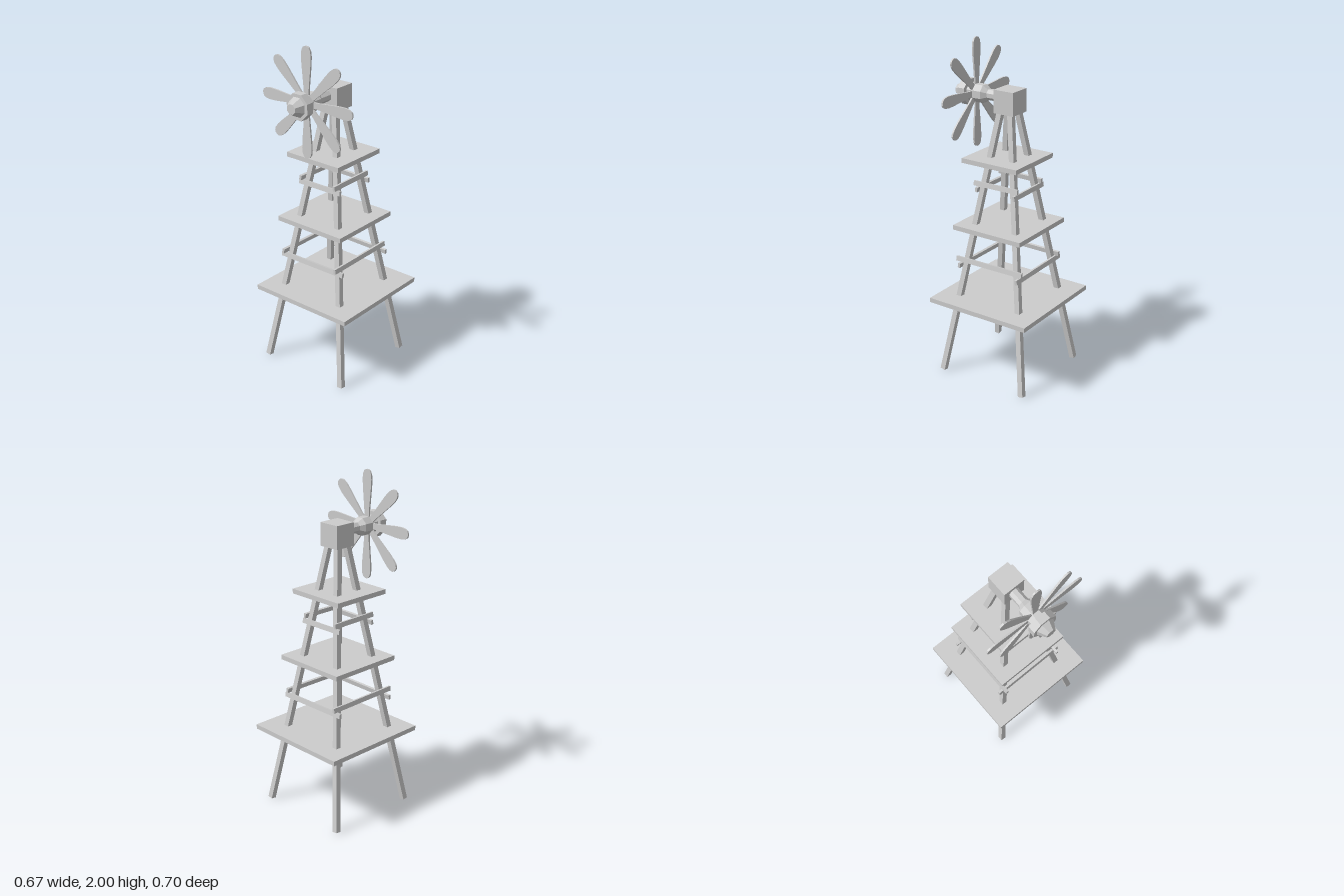
import * as THREE from 'three';

const CX = -0.011, CZ = -0.01;          // tower axis
const HUB_X = -0.015, HUB_Y = 1.683;    // rotor axis
const SLOPE = 0.156;                    // inward lean of the legs per unit of height
const legOffset = (y) => 0.286 - SLOPE * y;

export function createModel() {
  const model = new THREE.Group();
  model.name = 'windmillTower';
  const material = new THREE.MeshStandardMaterial({ color: 0xcccccc, flatShading: true });

  const add = (name, geometry, parent = model) => {
    const mesh = new THREE.Mesh(geometry, material);
    mesh.name = name;
    parent.add(mesh);
    return mesh;
  };
  const box = (name, w, h, d, x, y, z) => {
    const mesh = add(name, new THREE.BoxGeometry(w, h, d));
    mesh.position.set(x, y, z);
    return mesh;
  };

  // Four leaning legs with square-cut ends
  for (const sx of [-1, 1]) for (const sz of [-1, 1]) {
    const at = (y) => new THREE.Vector3(CX + sx * legOffset(y), y, CZ + sz * legOffset(y));
    const foot = at(0.005), top = at(1.62);
    const leg = add('leg', new THREE.BoxGeometry(0.032, foot.distanceTo(top), 0.032));
    leg.position.lerpVectors(foot, top, 0.5);
    leg.quaternion.setFromUnitVectors(new THREE.Vector3(0, 1, 0), top.sub(foot).normalize());
  }

  // Platforms, smaller towards the top
  box('lowerPlatform', 0.671, 0.028, 0.671, -0.001, 0.48, -0.015);
  box('middlePlatform', 0.465, 0.028, 0.465, -0.01, 0.93, -0.008);
  box('upperPlatform', 0.373, 0.028, 0.373, -0.01, 1.332, 0.002);

  // Cross braces nailed to the outside of the legs, slightly crooked
  const lean = Math.atan(SLOPE);
  for (const [y, length] of [[0.691, 0.46], [1.156, 0.3]]) {
    const sideY = y + 0.033;
    for (const s of [-1, 1]) {
      const out = legOffset(y) + 0.023, sideOut = legOffset(sideY) + 0.023;
      const cross = box(s > 0 ? 'frontBrace' : 'backBrace', length, 0.028, 0.015, CX - 0.002, y, CZ + s * out);
      cross.rotation.set(-s * lean, 0, s * 0.01);
      const side = box(s > 0 ? 'leftBrace' : 'rightBrace', 0.015, 0.028, length, CX + s * sideOut, sideY, CZ + 0.008);
      side.rotation.set(s * 0.01, 0, s * lean);
    }
  }

  // Gearbox on top of the legs
  box('gearbox', 0.133, 0.135, 0.131, CX, 1.67, -0.014);

  // Rotor group, its axis pointing forward
  const rotor = new THREE.Group();
  rotor.name = 'rotor';
  rotor.position.set(HUB_X, HUB_Y, 0);
  model.add(rotor);

  // Octagonal shaft and hub: [distance to flat, z]
  const profile = [
    [0, 0.03], [0.03, 0.03], [0.03, 0.13], [0.051, 0.16], [0.051, 0.254], [0.073, 0.254],
    [0.073, 0.3], [0.055, 0.3], [0.028, 0.348], [0, 0.348],
  ].map(([r, z]) => new THREE.Vector2(r / Math.cos(Math.PI / 8), z));
  const hub = new THREE.LatheGeometry(profile, 8, Math.PI / 8);
  hub.rotateX(Math.PI / 2);
  add('hub', hub, rotor);

  // Eight paddle blades: [radius, half width]
  const edge = [[0.035, 0.017], [0.08, 0.018], [0.15, 0.025], [0.22, 0.032],
    [0.265, 0.034], [0.295, 0.03], [0.312, 0.02], [0.318, 0.008]];
  const outline = [
    ...edge.map(([r, w]) => new THREE.Vector2(w, r)),
    ...edge.map(([r, w]) => new THREE.Vector2(-w, r)).reverse(),
  ];
  const bladeGeometry = new THREE.ExtrudeGeometry(new THREE.Shape(outline), { depth: 0.01, bevelEnabled: false });
  for (let i = 0; i < 8; i++) {
    const blade = add('blade', bladeGeometry, rotor);
    blade.position.z = 0.214;
    blade.rotation.z = (i * Math.PI) / 4;
  }

  return model;
}
